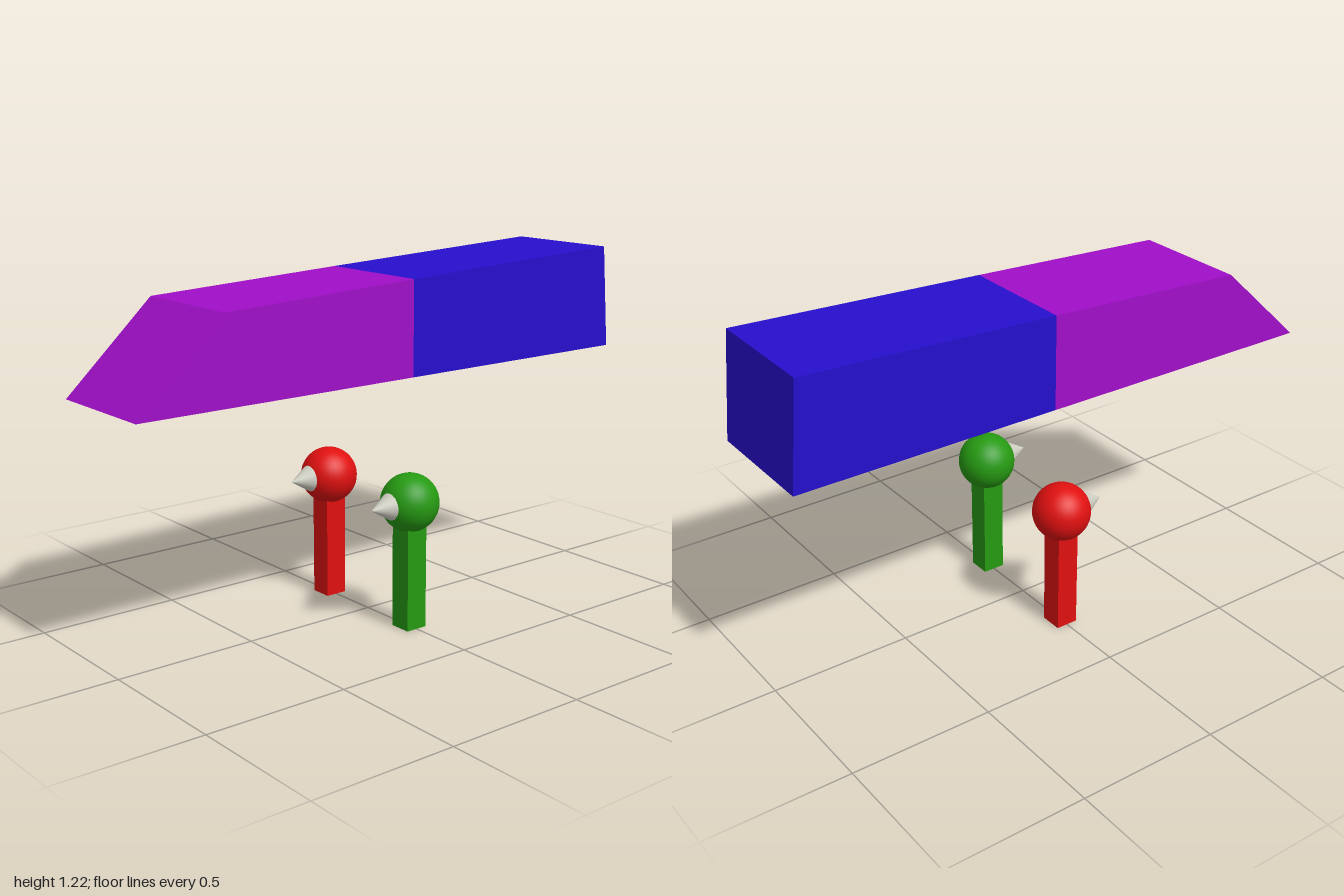
import * as THREE from 'three';

const paint = (name, color) => new THREE.MeshStandardMaterial({ name, color });

const ZF = 0.172, ZB = -0.254, ZC = (ZF + ZB) / 2; // body front, back and middle
const BASE = 0.85, DENT = 0.098;                   // body underside height, dent radius

function add(parent, name, geometry, material, x = 0, y = 0, z = 0) {
  const mesh = new THREE.Mesh(geometry, material);
  mesh.name = name;
  mesh.position.set(x, y, z);
  parent.add(mesh);
  return mesh;
}

// Outer walls of a body half: sides, plus a strip across z for each listed profile edge
function shellGeometry(profile, edges) {
  const pos = [];
  const tri = (...pts) => pts.forEach((p) => pos.push(...p));
  const at = (i, z) => [profile[i][0], profile[i][1], z];
  for (let i = 1; i < profile.length - 1; i++) {
    tri(at(0, ZF), at(i, ZF), at(i + 1, ZF));
    tri(at(0, ZB), at(i + 1, ZB), at(i, ZB));
  }
  for (const i of edges) {
    const j = (i + 1) % profile.length;
    tri(at(i, ZF), at(i, ZB), at(j, ZB));
    tri(at(i, ZF), at(j, ZB), at(j, ZF));
  }
  const geo = new THREE.BufferGeometry();
  geo.setAttribute('position', new THREE.Float32BufferAttribute(pos, 3));
  geo.computeVertexNormals();
  return geo;
}

// Body half: walls, underside with a round opening, and a hemispherical dent
function bodyHalf(name, material, dentX, profile, edges) {
  const group = new THREE.Group();
  group.name = name;
  add(group, name + 'Walls', shellGeometry(profile, edges), material);

  const x0 = Math.min(...profile.map((p) => p[0]));
  const x1 = Math.max(...profile.map((p) => p[0]));
  const shape = new THREE.Shape();
  shape.moveTo(x0, ZB).lineTo(x1, ZB).lineTo(x1, ZF).lineTo(x0, ZF);
  shape.holes.push(new THREE.Path().absarc(dentX, ZC, DENT, 0, Math.PI * 2, true));
  const under = new THREE.ShapeGeometry(shape, 24).rotateX(Math.PI / 2);
  add(group, name + 'Underside', under, material, 0, BASE, 0);

  // Turn the dome inside out so that its hollow side shows
  const dome = new THREE.SphereGeometry(DENT, 48, 16, 0, Math.PI * 2, 0, Math.PI / 2);
  dome.setIndex(Array.from(dome.index.array).reverse());
  dome.computeVertexNormals();
  add(group, name + 'Dent', dome, material, dentX, BASE, ZC);
  return group;
}

// Peg figure: square post, ball head and a pointed nose facing -x
function pegFigure(name, material, noseMaterial, z) {
  const group = new THREE.Group();
  group.name = name;
  add(group, 'post', new THREE.BoxGeometry(0.08, 0.4, 0.08), material, 0, 0.2, 0);
  add(group, 'head', new THREE.SphereGeometry(0.1, 32, 24), material, 0, 0.44, 0);
  const cone = new THREE.ConeGeometry(0.06, 0.1, 32).rotateZ(Math.PI / 2);
  add(group, 'nose', cone, noseMaterial, -0.115, 0.44, 0);
  group.position.z = z;
  return group;
}

export function createModel() {
  const purple = paint('purple', 0xa00fc8);
  const blue = paint('blue', 0x260fcc);
  const green = paint('green', 0x269a12);
  const red = paint('red', 0xe01010);
  const grey = paint('lightGrey', 0xd0d0c4);

  const model = new THREE.Group();
  model.name = 'wedgeAndPegFigures';
  const split = 0.055, splitTop = 1.178;
  model.add(
    // Profiles run counter-clockwise seen from the front
    bodyHalf('slopedHalf', purple, -0.52,
      [[-1, BASE], [split, BASE], [split, splitTop], [-0.685, 1.143]], [2, 3]),
    bodyHalf('squareHalf', blue, 0.57,
      [[split, BASE], [1, BASE], [0.967, 1.218], [split, splitTop]], [1, 2]),
    pegFigure('greenFigure', green, grey, 0.222),
    pegFigure('redFigure', red, grey, -0.222),
  );
  return model;
}
